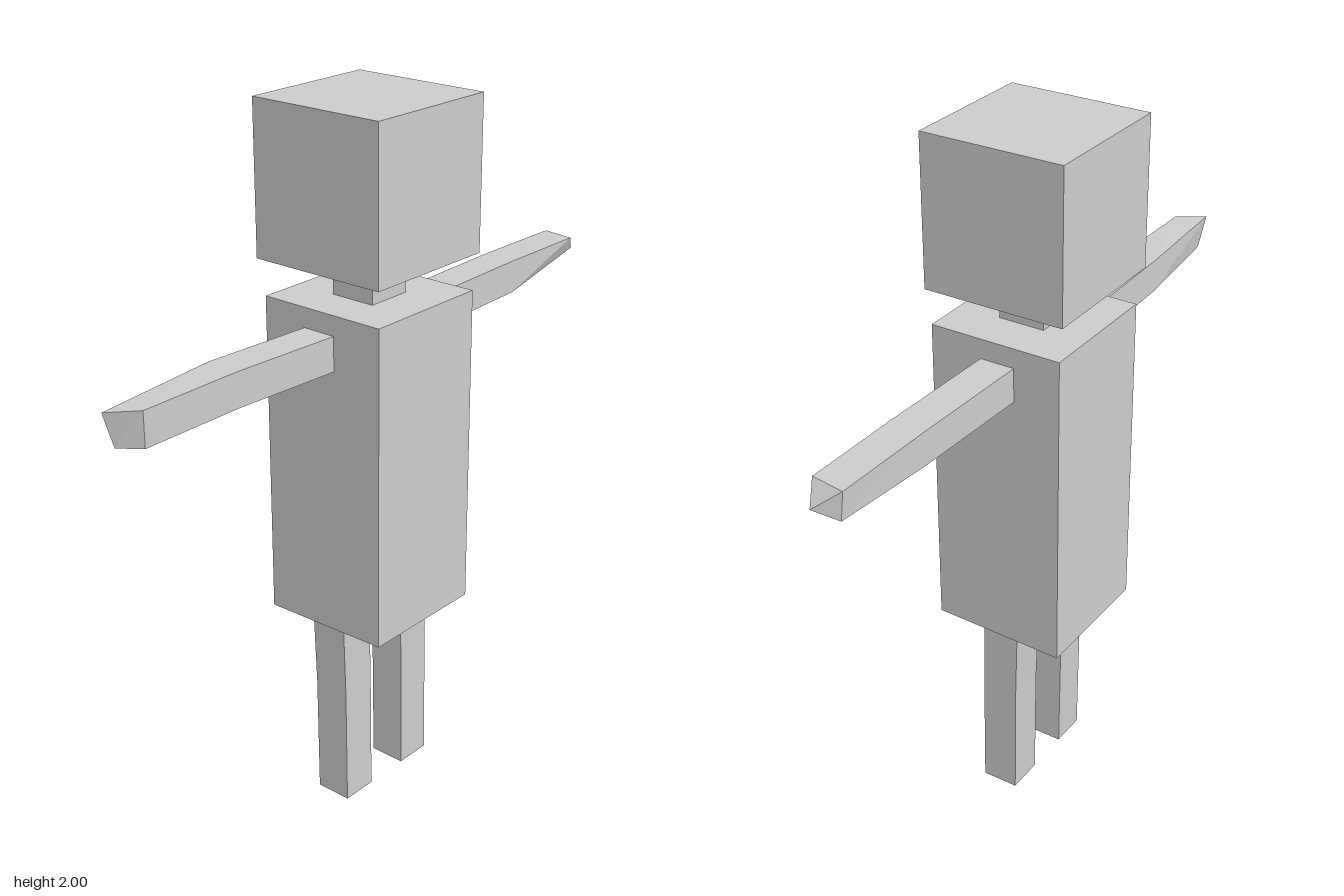
import * as THREE from 'three';

const material = new THREE.MeshStandardMaterial({ color: 0xcccccc, flatShading: true });

// Skin a row of four-cornered sections, each clockwise as seen from the far end.
function loft(name, sections) {
  const pos = [];
  const quad = (a, b, c, d) => pos.push(...a, ...b, ...c, ...a, ...c, ...d);
  for (let k = 0; k < sections.length - 1; k++) {
    const s = sections[k], t = sections[k + 1];
    for (let i = 0; i < 4; i++) {
      const j = (i + 1) % 4;
      quad(s[i], t[i], t[j], s[j]);
    }
  }
  quad(...sections[0]);
  quad(...[...sections[sections.length - 1]].reverse());
  const geometry = new THREE.BufferGeometry();
  geometry.setAttribute('position', new THREE.Float32BufferAttribute(pos, 3));
  geometry.computeVertexNormals();
  const mesh = new THREE.Mesh(geometry, material);
  mesh.name = name;
  return mesh;
}

// Level section of an upright part; the back edge may sit at another height.
const level = (y, x0, x1, z0, z1, yBack = y) =>
  [[x0, yBack, z0], [x1, yBack, z0], [x1, y, z1], [x0, y, z1]];

// Upright section of an arm: top front, top back, bottom back, bottom front.
const slice = (x, y0, y1, z0 = -0.055, z1 = 0.045) =>
  [[x, y1, z1], [x, y1, z0], [x, y0, z0], [x, y0, z1]];

function block(name, x0, x1, y0, y1, z0, z1) {
  const mesh = new THREE.Mesh(new THREE.BoxGeometry(x1 - x0, y1 - y0, z1 - z0), material);
  mesh.position.set((x0 + x1) / 2, (y0 + y1) / 2, (z0 + z1) / 2);
  mesh.name = name;
  return mesh;
}

export function createModel() {
  const model = new THREE.Group();
  model.name = 'blockFigure';

  model.add(block('head', -0.217, 0.192, 1.58, 2, -0.205, 0.205));
  model.add(block('neck', -0.08, 0.055, 1.475, 1.58, -0.065, 0.07));

  // Torso with a slightly tilted underside
  model.add(loft('torso', [
    level(0.565, -0.203, 0.18, -0.19, 0.197, 0.555),
    level(1.478, -0.203, 0.18, -0.19, 0.195),
  ]));

  // Legs, leaning slightly forward toward the ground
  for (const [name, x0, x1] of [['rightLeg', -0.187, -0.08], ['leftLeg', 0.056, 0.165]]) {
    model.add(loft(name, [
      level(0, x0, x1, -0.04, 0.067),
      level(0.35, x0, x1, -0.044, 0.064),
      level(0.56, x0 - 0.003, x1, -0.05, 0.06),
    ]));
  }

  // Left arm, ending in a slanted point
  model.add(loft('leftArm', [
    slice(0.18, 1.325, 1.422),
    slice(0.57, 1.336, 1.43),
    [[0.858, 1.43, 0.045], [0.872, 1.43, -0.053], [0.88, 1.353, -0.05], [0.912, 1.38, 0.013]],
  ]));

  // Right arm, with its back bevelled toward the tip
  model.add(loft('rightArm', [
    [[-0.855, 1.43, 0.045], [-0.917, 1.425, -0.027], [-0.895, 1.332, -0.015], [-0.855, 1.334, 0.045]],
    slice(-0.55, 1.336, 1.432),
    slice(-0.203, 1.325, 1.422),
  ]));

  return model;
}
